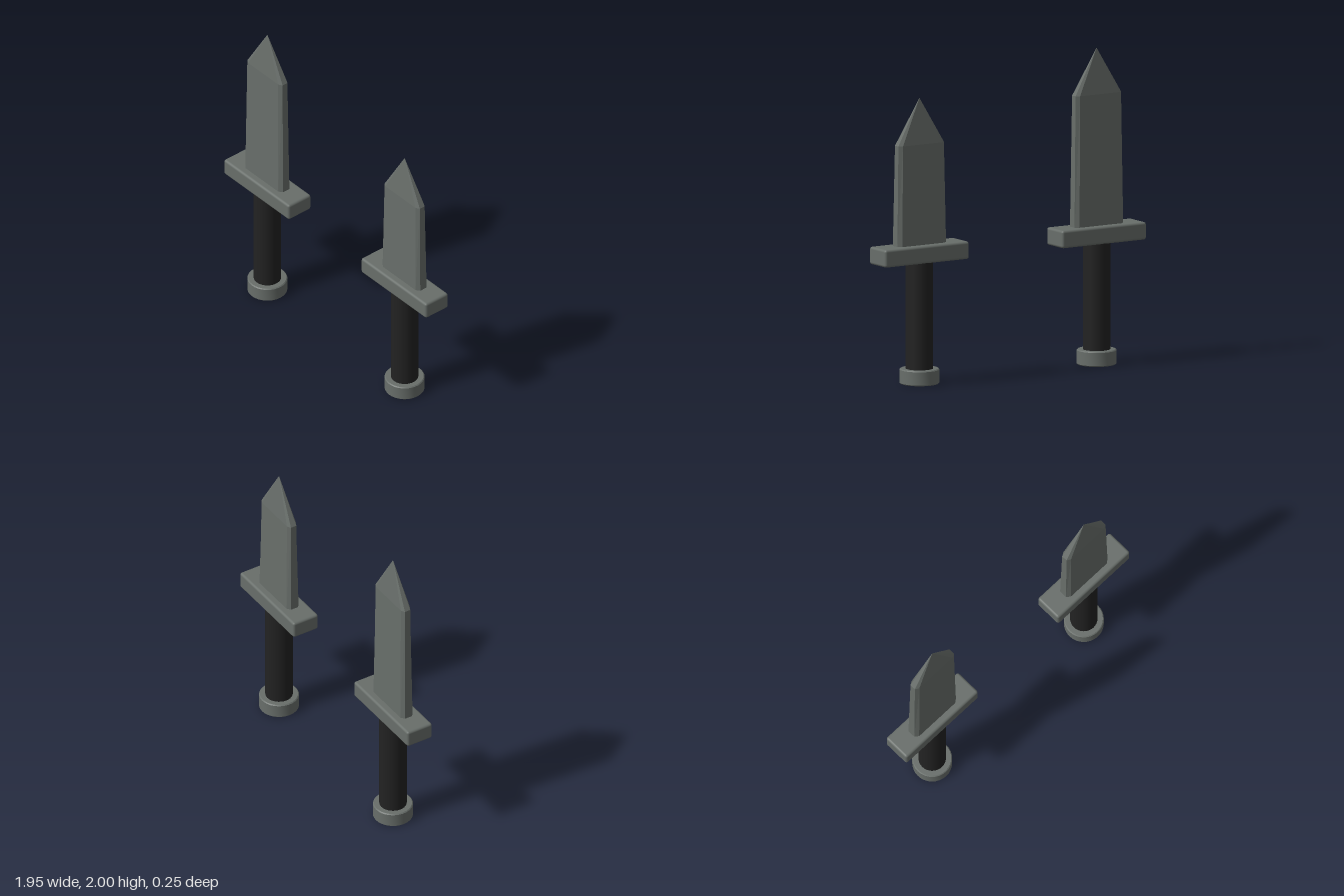
import * as THREE from 'three';
import { RoundedBoxGeometry } from 'three/addons/geometries/RoundedBoxGeometry.js';
import { toCreasedNormals } from 'three/addons/utils/BufferGeometryUtils.js';

const steel = new THREE.MeshStandardMaterial({ name: 'steel grey', color: 0x686e6a });
const leather = new THREE.MeshStandardMaterial({ name: 'black grip', color: 0x222222 });

// Eight-sided blade section with narrow bevels, counter-clockwise from above
function section(w, t) {
  const a = w - 0.025, b = t * 0.58;
  return [[w, b], [w, -b], [a, -t], [-a, -t], [-w, -b], [-w, b], [-a, t], [a, t]];
}

// Blade: tapering body closed by a pointed tip
function bladeGeometry(base, shoulder, tip) {
  const low = section(0.182, 0.045).map(([x, z]) => [x, base, z]);
  const high = section(0.17, 0.034).map(([x, z]) => [x, shoulder, z]);
  const pos = [];
  const tri = (...corners) => corners.forEach((p) => pos.push(...p));
  for (let i = 0; i < 8; i++) {
    const j = (i + 1) % 8;
    tri(low[i], low[j], high[j]);
    tri(low[i], high[j], high[i]);
    tri(high[i], high[j], [0, tip, 0]);
    tri(low[j], low[i], [0, base, 0]);
  }
  const g = new THREE.BufferGeometry();
  g.setAttribute('position', new THREE.Float32BufferAttribute(pos, 3));
  g.computeVertexNormals();
  return g;
}

function dagger(name, x, shoulder, tip) {
  const group = new THREE.Group();
  group.name = name;
  group.position.x = x;
  const add = (part, geometry, material, y = 0) => {
    const mesh = new THREE.Mesh(geometry, material);
    mesh.name = part;
    mesh.position.y = y;
    group.add(mesh);
  };
  add('blade', bladeGeometry(0.86, shoulder, tip), steel);
  add('guard', new RoundedBoxGeometry(0.63, 0.112, 0.185, 2, 0.016), steel, 0.825);
  add('grip', new THREE.CylinderGeometry(0.086, 0.086, 0.72, 32), leather, 0.43);
  // Pommel with slightly bevelled rims
  const profile = [[0, 0], [0.119, 0], [0.125, 0.006], [0.125, 0.089], [0.119, 0.095], [0, 0.095]]
    .map(([r, y]) => new THREE.Vector2(r, y));
  add('pommel', toCreasedNormals(new THREE.LatheGeometry(profile, 32), 0.5), steel);
  return group;
}

export function createModel() {
  const model = new THREE.Group();
  model.name = 'pair of daggers';
  model.add(dagger('longDagger', -0.662, 1.71, 2));
  model.add(dagger('shortDagger', 0.662, 1.515, 1.805));
  return model;
}
